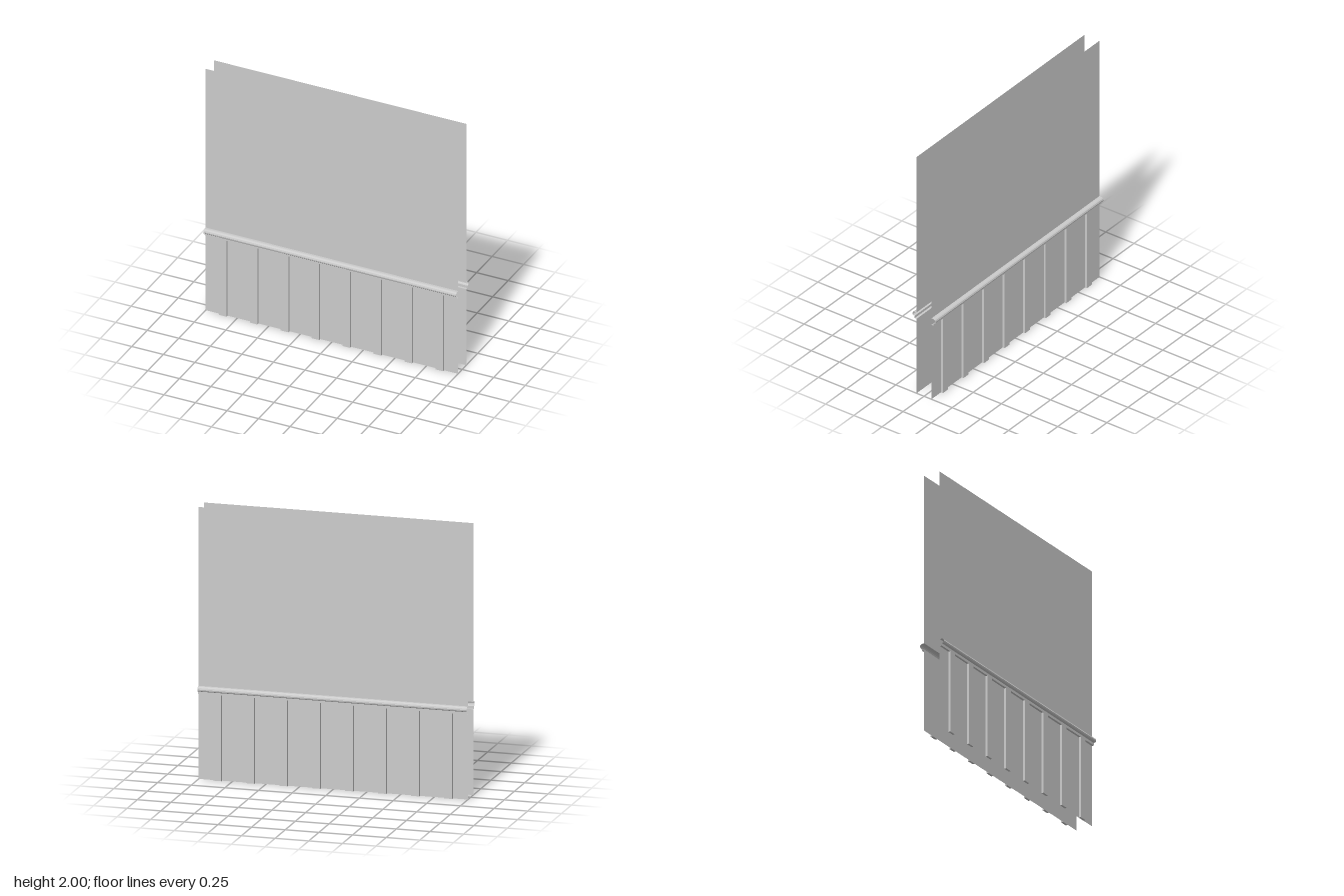
import * as THREE from 'three';

const material = new THREE.MeshStandardMaterial({
  color: 0xcccccc, flatShading: true, side: THREE.DoubleSide,
});

const WALL_Z = 0.066, BATTEN_Z = 0.083, STRIP_Y = 0.63, RAIL_TOP = 0.685;

function add(parent, name, geometry, x = 0, y = 0, z = 0) {
  const mesh = new THREE.Mesh(geometry, material);
  mesh.name = name;
  mesh.position.set(x, y, z);
  parent.add(mesh);
}

// Open ribbon: sweeps a [z, y] profile across the full width of the wall
function ribbon(profile) {
  const positions = [], indices = [];
  profile.forEach(([z, y], i) => {
    positions.push(-1, y, z, 1, y, z);
    if (i > 0) {
      const a = 2 * i - 2;
      indices.push(a, a + 1, a + 3, a, a + 3, a + 2);
    }
  });
  const geometry = new THREE.BufferGeometry();
  geometry.setAttribute('position', new THREE.Float32BufferAttribute(positions, 3));
  geometry.setIndex(indices);
  geometry.computeVertexNormals();
  return geometry;
}

function wallSide(name) {
  const side = new THREE.Group();
  side.name = name;

  // Thin sheets above and below the rail; the hollow rail bridges the gap
  const upperHeight = 2 - RAIL_TOP;
  add(side, 'upperWall', new THREE.PlaneGeometry(2, upperHeight), 0, RAIL_TOP + upperHeight / 2, WALL_Z);
  add(side, 'lowerWall', new THREE.PlaneGeometry(2, STRIP_Y), 0, STRIP_Y / 2, WALL_Z);

  // Flat strip flush with the battens, topped by a rounded moulding
  add(side, 'chairRail', ribbon([
    [WALL_Z, STRIP_Y], [BATTEN_Z, STRIP_Y], [BATTEN_Z, 0.649],
    [0.094, 0.65], [0.1, 0.656], [0.102, 0.666],
    [0.098, 0.677], [0.09, 0.683], [0.082, RAIL_TOP], [WALL_Z, RAIL_TOP],
  ]));

  // Eight evenly spaced vertical battens
  const depth = BATTEN_Z - WALL_Z;
  const batten = new THREE.BoxGeometry(0.06, STRIP_Y, depth);
  for (let i = 0; i < 8; i++) {
    add(side, 'batten', batten, (i - 3.5) * 0.245, STRIP_Y / 2, WALL_Z + depth / 2);
  }
  return side;
}

export function createModel() {
  const model = new THREE.Group();
  model.name = 'panelledWall';
  const front = wallSide('frontSide');
  const back = wallSide('backSide');
  back.rotation.y = Math.PI;
  model.add(front, back);
  return model;
}
